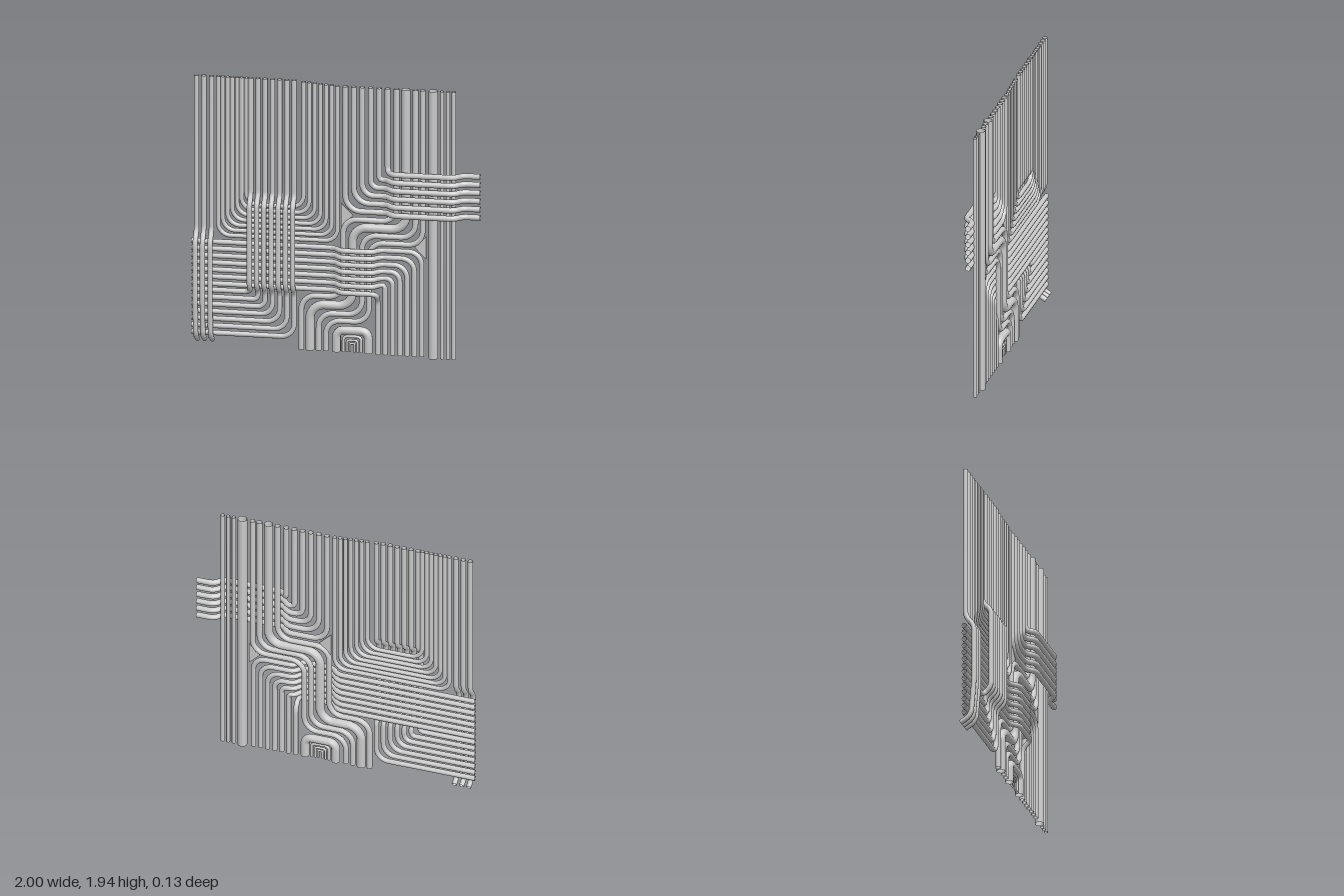
import * as THREE from 'three';

const Z = -0.018;     // depth of the main pipe layer
const FRONT = 0.042;  // depth of the crossing pipes in front

const material = new THREE.MeshStandardMaterial({ color: 0xcccccc, side: THREE.DoubleSide });

// Path through corner points [x, y, z?, fillet?], each corner rounded off
function roundedPath(points, fillet) {
  const p = points.map(([x, y, z = Z]) => new THREE.Vector3(x, y, z));
  const path = new THREE.CurvePath();
  let from = p[0];
  for (let i = 1; i < p.length - 1; i++) {
    const toPrev = p[i - 1].clone().sub(p[i]);
    const toNext = p[i + 1].clone().sub(p[i]);
    const r = Math.min(points[i][3] ?? fillet, toPrev.length() * 0.48, toNext.length() * 0.48);
    const a = p[i].clone().addScaledVector(toPrev.normalize(), r);
    const b = p[i].clone().addScaledVector(toNext.normalize(), r);
    // cubic approximation of a round elbow
    const c1 = a.clone().lerp(p[i], 0.56);
    const c2 = b.clone().lerp(p[i], 0.56);
    path.add(new THREE.LineCurve3(from, a));
    path.add(new THREE.CubicBezierCurve3(a, c1, c2, b));
    from = b;
  }
  path.add(new THREE.LineCurve3(from, p[p.length - 1]));
  return path;
}

function pipe(parent, name, points, radius, fillet = 0.09) {
  const path = roundedPath(points, fillet);
  const steps = Math.max(40, Math.ceil(path.getLength() / 0.02));
  const mesh = new THREE.Mesh(new THREE.TubeGeometry(path, steps, radius, 10), material);
  mesh.name = name;
  parent.add(mesh);
}

function section(parent, name) {
  const group = new THREE.Group();
  group.name = name;
  parent.add(group);
  return group;
}

export function createModel() {
  const model = new THREE.Group();
  model.name = 'pipePanel';

  // Three edge pipes that step forward over the horizontal runs
  const edge = section(model, 'edgePipes');
  for (const x of [-0.965, -0.915, -0.862]) {
    pipe(edge, 'edgePipe', [[x, 1.94], [x, 0.83], [x, 0.77, FRONT], [x, 0.36, FRONT],
      [x, 0.09, 0.02], [x, 0.045, -0.055]], 0.018, 0.04);
  }

  // Nested U-shaped pipes
  const nest = section(model, 'nestedUPipes');
  for (let i = 0; i < 7; i++) {
    const left = -0.815 + 0.0325 * i, right = 0.01 - 0.039 * i, y = 0.805 + 0.038 * i;
    pipe(nest, 'uPipe', [[left, 1.94], [left, y], [right, y], [right, 1.915 + 0.003 * i]], 0.0155, 0.085);
  }

  // Pipes that cross in front of the runs, then turn off to the left edge
  const crossing = section(model, 'crossingPipes');
  for (let i = 0; i < 7; i++) {
    const x = -0.59 + 0.05 * i, y = 0.41 - 0.051 * i;
    const path = [[x, 1.94], [x, 1.1, Z, 0.03], [x, 1.05, FRONT, 0.03], [x, 0.47, FRONT, 0.03]];
    if (i === 0) path.push([x, y, Z, 0.04]);
    else path.push([x, 0.42, Z, 0.03], [x, y]);
    path.push([-1, y]);
    pipe(crossing, 'crossingPipe', path, 0.018);
  }

  // Horizontal runs that hop over the winding pipes and turn down
  const runs = section(model, 'horizontalRuns');
  for (let i = 0; i < 7; i++) {
    const y = 0.755 - 0.05 * i, x = 0.593 - 0.0505 * i;
    const path = [[-1, y], [-0.01, y, Z, 0.03], [0.04, y, FRONT, 0.03]];
    if (i === 6) path.push([x, y, FRONT, 0.03], [x, y - 0.06, Z, 0.03]);
    else path.push([0.26, y, FRONT, 0.03], [0.305, y, Z, 0.03], [x, y]);
    path.push([x, 0.012]);
    pipe(runs, 'horizontalRun', path, 0.018);
  }

  // Elbow pipes that leave through the right edge, over the upright pipes
  const elbows = section(model, 'elbowPipes');
  for (let i = 0; i < 6; i++) {
    const x = 0.065 + 0.0585 * i, y = 1.025 + 0.0585 * i;
    const path = [[x, 1.915], [x, y, Z, i === 5 ? 0.05 : 0.11]];
    if (i < 5) path.push([0.35, y, Z, 0.03]);
    path.push([0.4, y, FRONT, 0.03], [0.83, y, FRONT, 0.04], [0.875, y, Z, 0.04], [1, y]);
    pipe(elbows, 'elbowPipe', path, 0.02);
  }

  // Winding pipes: top x, upper level, middle x, lower level, bottom x, radius
  const winding = section(model, 'windingPipes');
  const bends = [
    [0.42, 0.965, 0.05, 0.405, -0.24, 0.02],
    [0.485, 0.91, 0.115, 0.345, -0.18, 0.031],
    [0.55, 0.855, 0.18, 0.285, -0.12, 0.02],
    [0.6, 0.805, 0.228, 0.235, -0.07, 0.019],
  ];
  for (const [a, y1, b, y2, c, r] of bends) {
    pipe(winding, 'windingPipe', [[a, 1.915], [a, y1], [b, y1], [b, y2], [c, y2], [c, 0.02]], r, 0.1);
  }

  // Small nested arches at the foot: half width, height, radius
  const arches = section(model, 'footArches');
  for (const [w, y, r] of [[0.11, 0.17, 0.03], [0.062, 0.128, 0.011], [0.037, 0.1, 0.009], [0.016, 0.077, 0.008]]) {
    const x = 0.113;
    pipe(arches, 'footArch', [[x - w, 0.018], [x - w, y], [x + w, y], [x + w, 0.018]], r, w * 0.45);
  }

  // Straight upright pipes on the right
  const uprights = section(model, 'uprightPipes');
  for (const [x, r] of [[0.673, 0.033], [0.735, 0.014], [0.775, 0.014], [0.815, 0.015]]) {
    pipe(uprights, 'uprightPipe', [[x, 1.915], [x, 0.003]], r);
  }

  // Flat triangular webs between the bends
  for (const corners of [
    [[0.035, 1.08], [0.035, 0.91], [0.12, 0.995]],
    [[0.625, 0.87], [0.545, 0.79], [0.625, 0.71]],
  ]) {
    const shape = new THREE.Shape(corners.map(([x, y]) => new THREE.Vector2(x, y)));
    const web = new THREE.Mesh(new THREE.ExtrudeGeometry(shape, { depth: 0.012, bevelEnabled: false }), material);
    web.position.z = Z - 0.006;
    web.name = 'cornerWeb';
    model.add(web);
  }

  return model;
}
